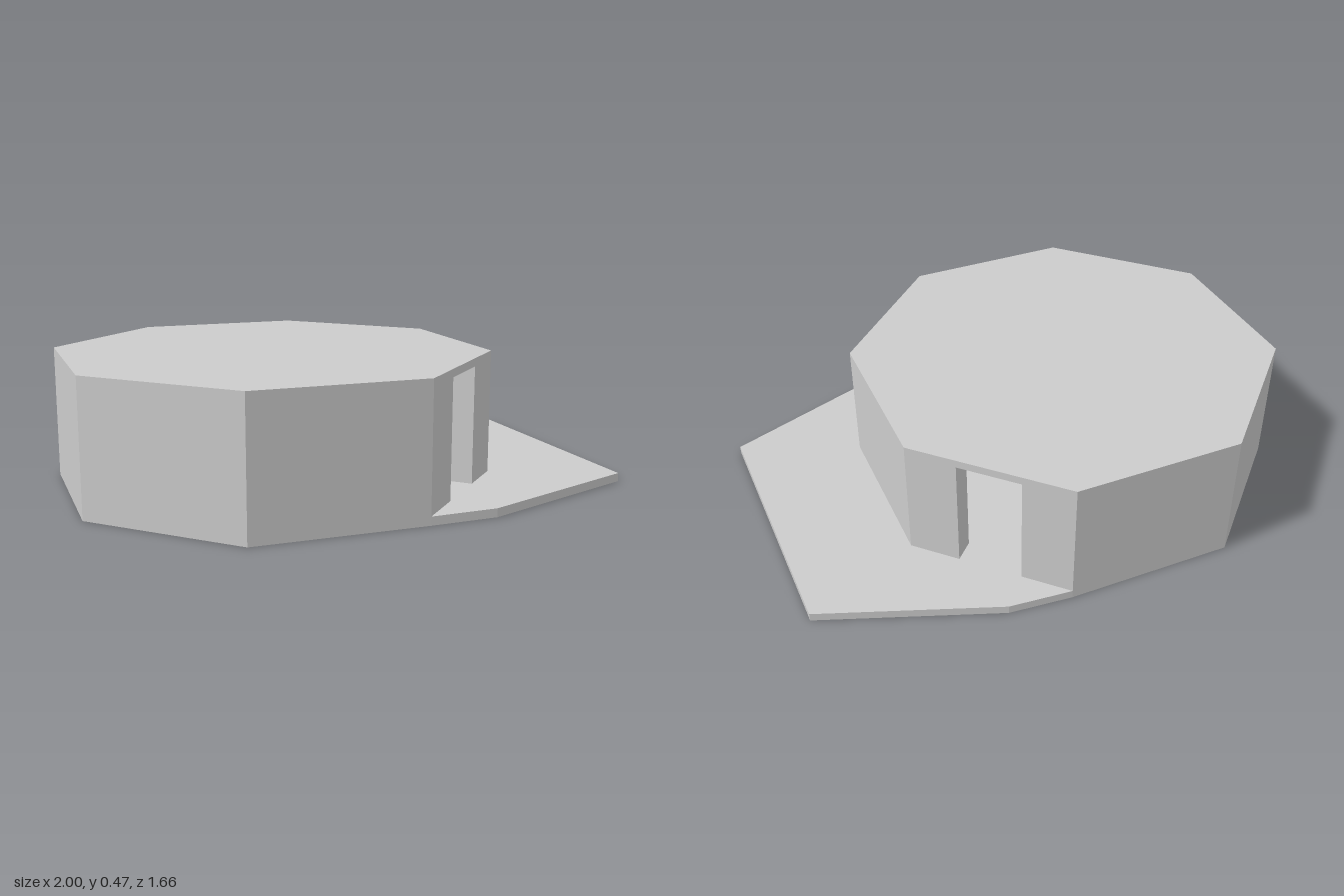
import * as THREE from 'three';

const CX = -0.222, CZ = -0.055, R = 0.777; // octagon centre and circumradius
const WALL = 0.083, DOOR = 0.228;
const FLOOR_Y = 0.03, CEILING_Y = 0.44, TOP_Y = 0.468;

export function createModel() {
  const group = new THREE.Group();
  group.name = 'octagonalHut';
  const material = new THREE.MeshStandardMaterial({ color: 0xcccccc, flatShading: true });

  // Extrudes a floor plan of [x, z] points between two heights
  function slab(name, plan, y0, y1) {
    const shape = new THREE.Shape(plan.map(([x, z]) => new THREE.Vector2(x, -z)));
    const geometry = new THREE.ExtrudeGeometry(shape, { depth: y1 - y0, bevelEnabled: false });
    geometry.rotateX(-Math.PI / 2).translate(0, y0, 0);
    const mesh = new THREE.Mesh(geometry, material);
    mesh.name = name;
    group.add(mesh);
  }

  const corner = (k, r = R) => {
    const a = (k * Math.PI) / 4;
    return [CX + r * Math.cos(a), CZ + r * Math.sin(a)];
  };
  const corners = (from, to, r) => {
    const points = [];
    for (let k = from; k <= to; k++) points.push(corner(k, r));
    return points;
  };

  // Door jamb on the wall following corner k: side -1 is its first edge, +1 its second
  const apothem = R * Math.cos(Math.PI / 8);
  const jamb = (k, side, inset) => {
    const a = ((k + 0.5) * Math.PI) / 4;
    const d = apothem - inset, s = (side * DOOR) / 2;
    return [CX + d * Math.cos(a) - s * Math.sin(a), CZ + d * Math.sin(a) + s * Math.cos(a)];
  };

  // Wall run between two doorways, on walls a and b
  function wallRun(name, a, b) {
    const innerR = R - WALL / Math.cos(Math.PI / 8);
    slab(name, [
      jamb(a, 1, 0), ...corners(a + 1, b, R), jamb(b, -1, 0),
      jamb(b, -1, WALL), ...corners(a + 1, b, innerR).reverse(), jamb(a, 1, WALL),
    ], FLOOR_Y, CEILING_Y);
  }

  // Floor plate reaching out past the two doorways as a terrace
  slab('floorPlate', [
    ...corners(2, 7, R),
    [0.525, -0.5], [1, -0.055], [0.65, 0.828], [0, 0.806],
  ], 0, FLOOR_Y);

  // Hollow walls and flat roof
  wallRun('frontWalls', -1, 1);
  wallRun('rearWalls', 1, 7);
  slab('roof', corners(0, 7, R), CEILING_Y, TOP_Y);

  return group;
}
